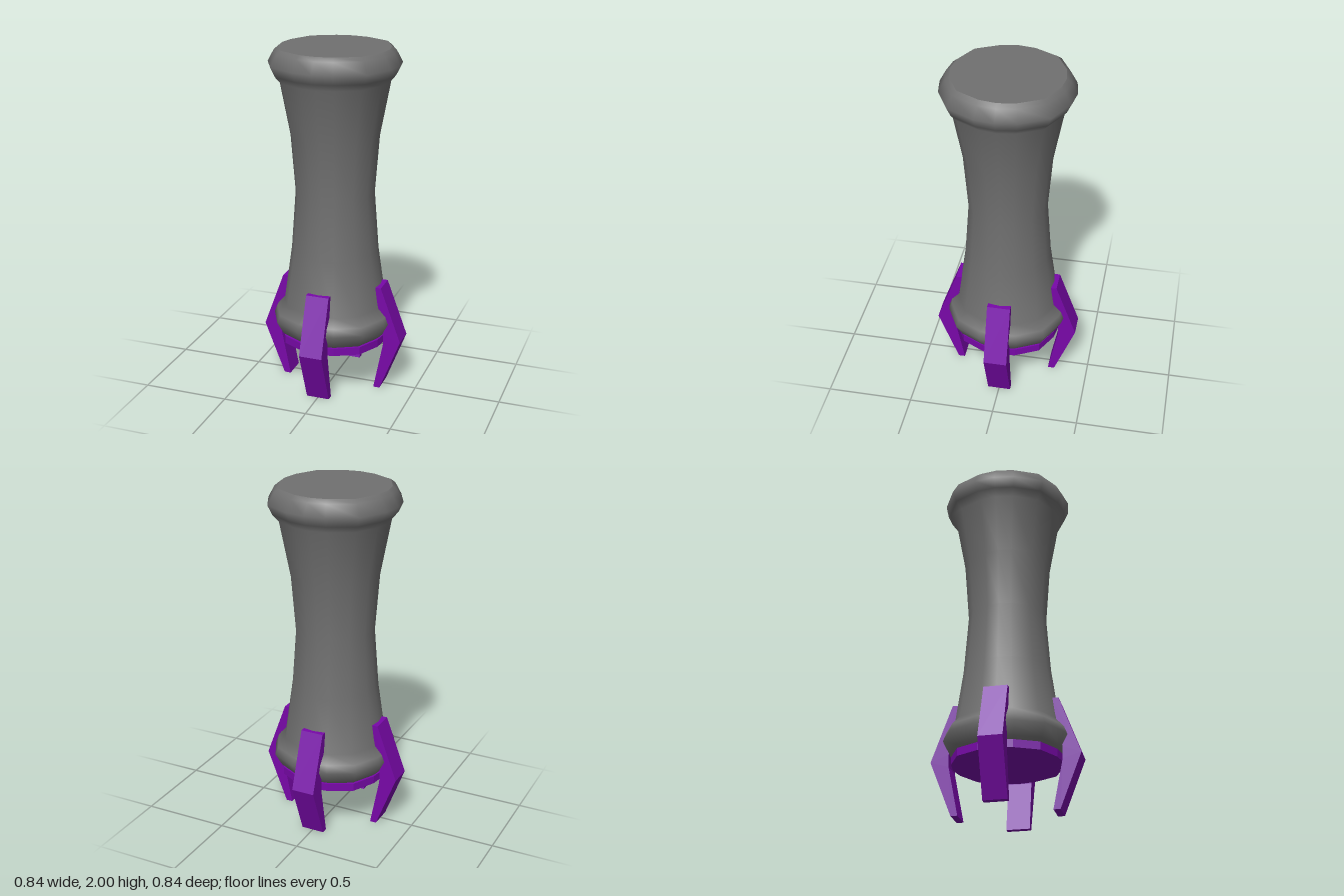
import * as THREE from 'three';
import { mergeVertices } from 'three/addons/utils/BufferGeometryUtils.js';

// Rounded sixteen-sided cross-section: corner angles and radius factors per quadrant
const ANGLES = [0, 18, 45, 72];
const FACTORS = [1, 1, 1.035, 1];
const SIDES = 16;

function corner(i, radius) {
  const a = THREE.MathUtils.degToRad(ANGLES[i % 4] + 90 * Math.floor(i / 4));
  const r = radius * FACTORS[i % 4];
  return new THREE.Vector2(r * Math.sin(a), r * Math.cos(a));
}

function outline(radius) {
  return new THREE.Shape(Array.from({ length: SIDES }, (_, i) => corner(i, radius)));
}

// Lathe whose columns are moved onto the rounded cross-section
function bodyGeometry(profile) {
  let geo = new THREE.LatheGeometry(profile.map(([r, y]) => new THREE.Vector2(r, y)), SIDES);
  const pos = geo.attributes.position;
  for (let i = 0; i <= SIDES; i++) {
    profile.forEach(([r, y], j) => {
      const p = corner(i % SIDES, r);
      pos.setXYZ(i * profile.length + j, p.x, y, p.y);
    });
  }
  geo.deleteAttribute('normal');
  geo.deleteAttribute('uv');
  geo = mergeVertices(geo);
  geo.computeVertexNormals();
  return geo;
}

export function createModel() {
  const model = new THREE.Group();
  const darkGrey = new THREE.MeshStandardMaterial({ color: 0x707070 });
  const purple = new THREE.MeshStandardMaterial({ color: 0x7808a8 });

  const add = (name, geometry, material) => {
    const mesh = new THREE.Mesh(geometry, material);
    mesh.name = name;
    model.add(mesh);
    return mesh;
  };

  // Waisted handle with a bulging rim at each end
  add('handle', bodyGeometry([
    [0.29, 0.32], [0.32, 0.345], [0.357, 0.415], [0.34, 0.46], [0.295, 0.51],
    [0.25, 0.83], [0.225, 1.17], [0.25, 1.5], [0.31, 1.82],
    [0.345, 1.86], [0.37, 1.915], [0.335, 1.98], [0.31, 2],
  ]), darkGrey);

  // Flat top of the handle
  add('topCap', new THREE.ShapeGeometry(outline(0.31)).rotateX(-Math.PI / 2).translate(0, 2, 0), darkGrey);

  // Plate under the handle, joining the claws
  add('basePlate', new THREE.ExtrudeGeometry(outline(0.31), { depth: 0.045, bevelEnabled: false })
    .rotateX(-Math.PI / 2).translate(0, 0.28, 0), purple);

  // Four bent claws, thickest at the elbow
  const clawShape = new THREE.Shape([
    [0.262, 0], [0.3, 0], [0.42, 0.31], [0.3, 0.635], [0.262, 0.635], [0.317, 0.35], [0.317, 0.28],
  ].map(([x, y]) => new THREE.Vector2(x, y)));
  const clawGeo = new THREE.ExtrudeGeometry(clawShape, { depth: 0.134, bevelEnabled: false })
    .translate(0, 0, -0.067);
  ['leftClaw', 'backClaw', 'rightClaw', 'frontClaw'].forEach((name, i) => {
    add(name, clawGeo, purple).rotation.y = i * Math.PI / 2;
  });

  return model;
}
